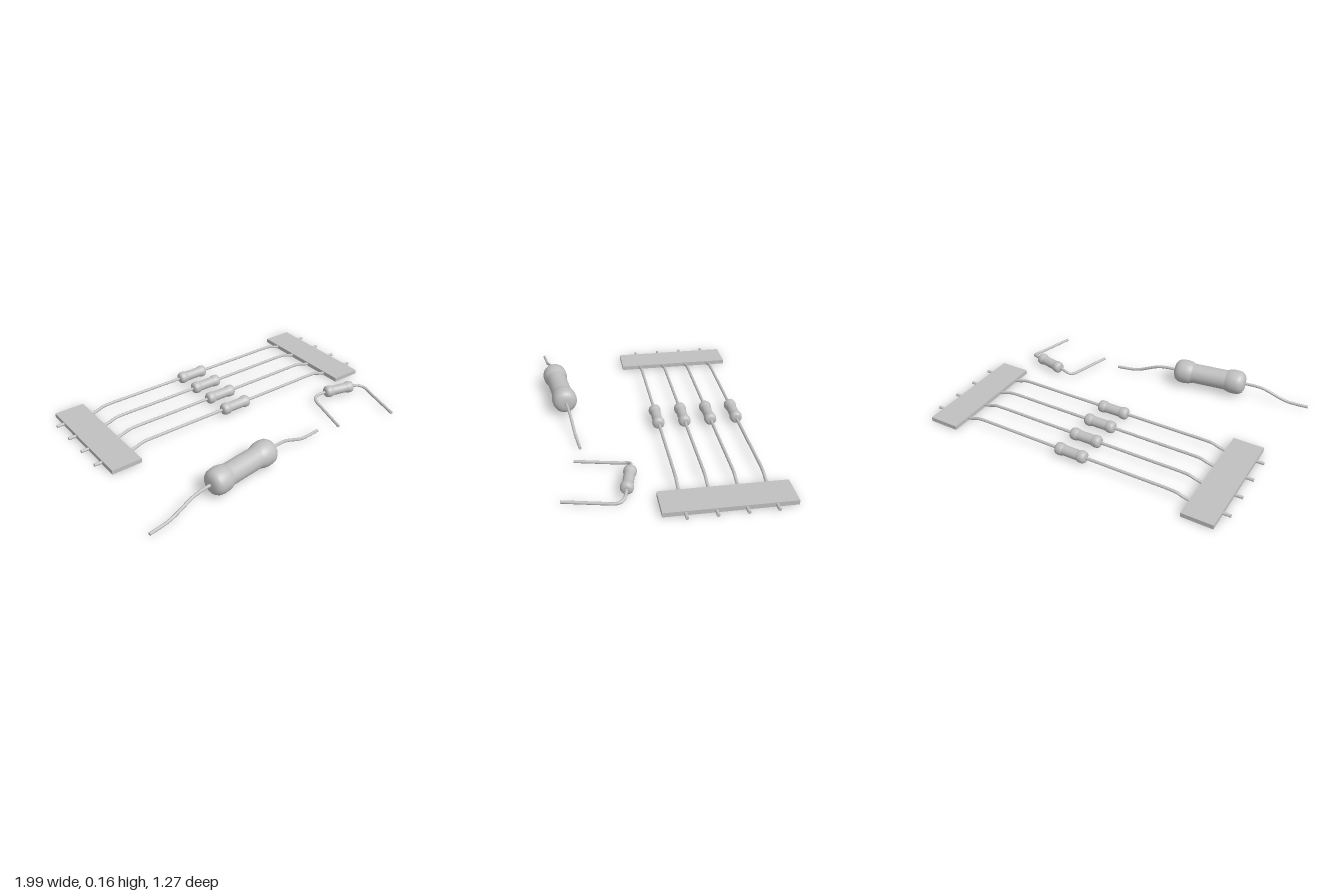
import * as THREE from 'three';

const grey = new THREE.MeshStandardMaterial({ color: 0xc0c0c0 });
grey.name = 'grey';
const WIRE = 0.009;

// Dumbbell-shaped body lying along x
function body(name, half, r, waist) {
  const prof = [[0, -1], [0.3, -1], [0.6, -0.985], [0.82, -0.94], [0.95, -0.87], [1, -0.78], [1, -0.66],
    [0.96, -0.57], [0.9, -0.51], [waist, -0.45]];
  const all = [...prof, ...prof.slice().reverse().map(([a, b]) => [a, -b])];
  const geo = new THREE.LatheGeometry(all.map(([a, b]) => new THREE.Vector2(a * r, b * half)), 32);
  geo.rotateZ(-Math.PI / 2);
  const mesh = new THREE.Mesh(geo, grey);
  mesh.name = name;
  return mesh;
}

// Round wire through points, closed by flat ends
function wire(name, pts) {
  const group = new THREE.Group();
  group.name = name;
  const curve = new THREE.CatmullRomCurve3(pts.map(p => new THREE.Vector3(...p)), false, 'centripetal');
  group.add(new THREE.Mesh(new THREE.TubeGeometry(curve, 64, WIRE, 12), grey));
  for (const t of [0, 1]) {
    const cap = new THREE.Mesh(new THREE.CircleGeometry(WIRE, 12), grey);
    const dir = curve.getTangent(t).multiplyScalar(t ? 1 : -1);
    cap.position.copy(curve.getPoint(t));
    cap.quaternion.setFromUnitVectors(new THREE.Vector3(0, 0, 1), dir);
    group.add(cap);
  }
  group.children.forEach(m => { m.name = name + 'Part'; });
  return group;
}

export function createModel() {
  const model = new THREE.Group();
  model.name = 'resistors';

  // Two tape strips holding the row
  for (const [name, x] of [['rightTape', -0.815], ['leftTape', 0.858]]) {
    const tape = new THREE.Mesh(new THREE.BoxGeometry(0.187, 0.026, 0.72), grey);
    tape.name = name;
    tape.position.set(x, 0.013, -0.28);
    model.add(tape);
  }

  // Four taped resistors
  for (let i = 0; i < 4; i++) {
    const unit = new THREE.Group();
    unit.name = 'tapedResistor';
    unit.position.set(0.02, 0, -0.52 + i * 0.16);
    const b = body('smallBody', 0.101, 0.037, 0.83);
    b.position.y = 0.04;
    unit.add(b);
    for (const s of [-1, 1]) {
      unit.add(wire('straightLead', [[0.08, 0.04], [0.4, 0.04], [0.62, 0.04], [0.66, 0.037], [0.71, 0.021],
        [0.75, 0.014], [0.8, 0.013], [0.975, 0.013]].map(([x, y]) => [s * x, y, 0])));
    }
    model.add(unit);
  }

  // Large loose resistor with leads drooping to the ground
  const large = new THREE.Group();
  large.name = 'largeResistor';
  large.position.set(-0.366, 0, 0.533);
  large.rotation.y = 0.137;
  const lb = body('largeBody', 0.232, 0.076, 0.83);
  lb.position.y = 0.085;
  large.add(lb);
  for (const s of [-1, 1]) {
    large.add(wire('droopingLead', [[0.2, 0.085], [0.29, 0.085], [0.35, 0.077], [0.41, 0.055], [0.46, 0.034],
      [0.51, 0.019], [0.56, 0.014], [0.638, 0.011]].map(([x, y]) => [s * x, y, 0])));
  }
  model.add(large);

  // Small loose resistor with bent leads
  const bent = new THREE.Group();
  bent.name = 'bentResistor';
  const bb = body('bentBody', 0.101, 0.037, 0.83);
  bb.position.set(0.66, 0.045, 0.213);
  bb.rotation.y = -0.235;
  bent.add(bb);
  bent.add(wire('bentLeadRight', [[0.58, 0.045, 0.194], [0.54, 0.043, 0.186], [0.505, 0.036, 0.181], [0.482, 0.028, 0.19],
    [0.467, 0.021, 0.222], [0.45, 0.018, 0.29], [0.398, 0.012, 0.49]]));
  bent.add(wire('bentLeadLeft', [[0.74, 0.045, 0.232], [0.775, 0.043, 0.24], [0.81, 0.036, 0.252], [0.829, 0.028, 0.272],
    [0.831, 0.021, 0.305], [0.817, 0.018, 0.36], [0.762, 0.012, 0.58]]));
  model.add(bent);

  return model;
}
